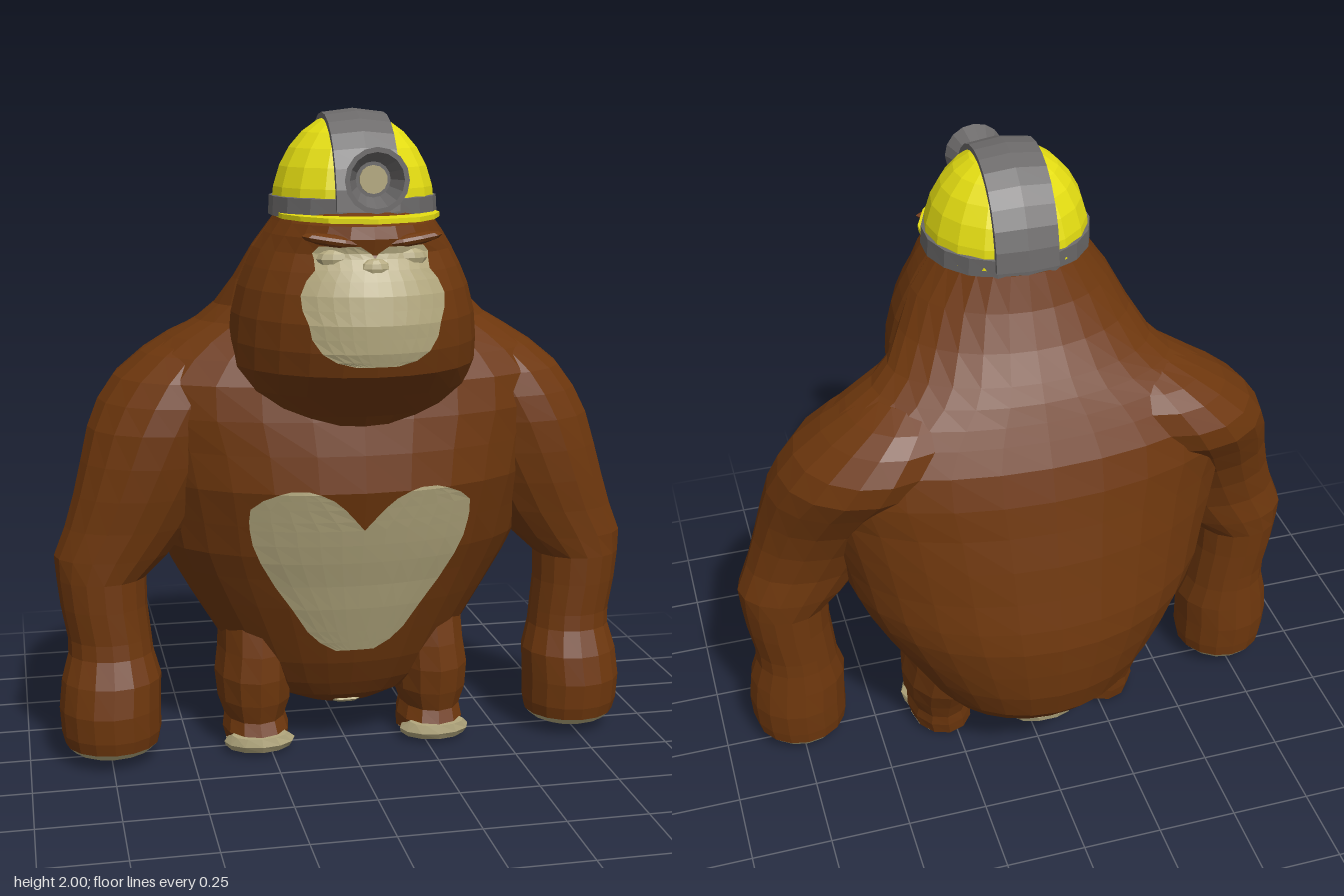
import * as THREE from 'three';
import { ParametricGeometry } from 'three/addons/geometries/ParametricGeometry.js';

const material = (name, color) => {
  const m = new THREE.MeshStandardMaterial({ color });
  m.name = name;
  return m;
};

export function createModel() {
  const model = new THREE.Group();
  model.name = 'gorilla';
  const fur = material('brown fur', 0x6e370d);
  const skin = material('beige skin', 0xb3a87e);
  const shell = material('yellow shell', 0xe6df12);
  const metal = material('grey metal', 0x6b6969);

  // Facets every geometry so that it reads as low-poly
  const add = (name, geometry, mat, parent = model) => {
    const g = geometry.index ? geometry.toNonIndexed() : geometry;
    g.computeVertexNormals();
    const mesh = new THREE.Mesh(g, mat);
    mesh.name = name;
    parent.add(mesh);
    return mesh;
  };

  // Rings from bottom to top: [y, xMin, xMax, zFront, zBack, zOfWidestPoint]
  const ringPoint = ([y, x0, x1, zf, zb, zc = (zf + zb) / 2], angle, target) => {
    const c = Math.cos(angle);
    return target.set((x0 + x1) / 2 + (x1 - x0) / 2 * Math.sin(angle), y, zc + c * (c > 0 ? zf - zc : zc - zb));
  };
  const loft = (rings, sides) => {
    const close = ([y, x0, x1, zf, zb]) => {
      const x = (x0 + x1) / 2, z = (zf + zb) / 2;
      return [y, x, x, z, z, z];
    };
    const all = [close(rings[0]), ...rings, close(rings[rings.length - 1])];
    const n = all.length - 1;
    return new ParametricGeometry((u, v, p) => ringPoint(all[Math.round(v * n)], u * Math.PI * 2, p), sides, n);
  };
  const symmetric = (rows) => rows.map(([y, w, ...z]) => [y, -w, w, ...z]);

  // Torso with the shoulders and the back of the neck
  const torso = symmetric([
    [0.13, 0.14, 0.02, -0.22, -0.1], [0.17, 0.25, 0.07, -0.30, -0.1], [0.22, 0.31, 0.10, -0.38, -0.1],
    [0.30, 0.36, 0.14, -0.45, -0.1], [0.40, 0.42, 0.175, -0.48, -0.1], [0.50, 0.48, 0.21, -0.49, -0.1],
    [0.60, 0.535, 0.24, -0.495, -0.09], [0.68, 0.57, 0.27, -0.485, -0.08], [0.78, 0.59, 0.30, -0.465, -0.08],
    [0.89, 0.615, 0.33, -0.445, -0.08], [1.00, 0.64, 0.315, -0.42, -0.08], [1.10, 0.68, 0.295, -0.40, -0.08],
    [1.20, 0.68, 0.27, -0.37, -0.08], [1.27, 0.61, 0.24, -0.335, -0.08], [1.32, 0.54, 0.22, -0.31, -0.08],
    [1.37, 0.455, 0.20, -0.285, -0.06], [1.42, 0.40, 0.18, -0.255, -0.03], [1.50, 0.35, 0.16, -0.205, 0.03],
    [1.60, 0.298, 0.15, -0.155, 0.08], [1.70, 0.225, 0.15, -0.12, 0.1],
  ]);
  add('torso', loft(torso, 28), fur);

  // Head
  const head = symmetric([
    [1.05, 0.24, 0.27, 0, 0.05], [1.12, 0.32, 0.325, -0.05, 0.05], [1.19, 0.36, 0.39, -0.1, 0.07],
    [1.26, 0.372, 0.465, -0.12, 0.09], [1.33, 0.372, 0.485, -0.15, 0.1], [1.41, 0.365, 0.49, -0.15, 0.1],
    [1.49, 0.345, 0.475, -0.15, 0.1], [1.55, 0.32, 0.45, -0.14, 0.1], [1.60, 0.295, 0.42, -0.13, 0.1],
    [1.645, 0.265, 0.43, -0.12, 0.11], [1.68, 0.24, 0.42, -0.11, 0.11], [1.73, 0.21, 0.32, -0.10, 0.11],
  ]);
  add('head', loft(head, 24), fur);

  // Front z of a lofted body at a given x and y
  const frontZ = (rings, x, y) => {
    let i = 0;
    while (i < rings.length - 2 && rings[i + 1][0] < y) i++;
    const a = rings[i], b = rings[i + 1];
    const r = a.map((v, k) => THREE.MathUtils.lerp(v, b[k], (y - a[0]) / (b[0] - a[0])));
    return r[5] + (r[3] - r[5]) * Math.sqrt(Math.max(0, 1 - (x / r[2]) ** 2));
  };
  // Mirrored skin patch; rows from bottom to top: [y, xInner, xOuter]
  const patch = (name, rows, rings) => {
    for (const side of [-1, 1]) {
      const g = new ParametricGeometry((u, v, p) => {
        const [y, a, b] = rows[Math.round(v * (rows.length - 1))];
        const x = side * THREE.MathUtils.lerp(a, b, side > 0 ? u : 1 - u);
        p.set(x, y, frontZ(rings, x, y) + 0.007);
      }, 5, rows.length - 1);
      add(name, g, skin);
    }
  };
  patch('chestPatch', [
    [0.35, 0, 0.06], [0.38, 0, 0.11], [0.42, 0, 0.15], [0.50, 0, 0.2], [0.58, 0, 0.255], [0.66, 0, 0.3],
    [0.72, 0, 0.325], [0.77, 0, 0.335], [0.80, 0.025, 0.338], [0.84, 0.06, 0.335], [0.87, 0.095, 0.3],
    [0.89, 0.135, 0.255], [0.90, 0.17, 0.22],
  ], torso);
  patch('face', [
    [1.292, 0, 0.06], [1.305, 0, 0.115], [1.33, 0, 0.155], [1.37, 0, 0.182], [1.41, 0, 0.19], [1.45, 0, 0.205],
    [1.49, 0, 0.208], [1.53, 0, 0.19], [1.56, 0, 0.165], [1.59, 0, 0.165], [1.605, 0.01, 0.168], [1.625, 0.04, 0.15],
  ], head);

  // Flattened balls for the eyelids, nose, brow and rump
  const ball = (name, mat, position, scale, tiltX = 0, tiltZ = 0) => {
    const mesh = add(name, new THREE.SphereGeometry(1, 10, 6), mat);
    mesh.position.set(...position);
    mesh.scale.set(...scale);
    mesh.rotation.set(tiltX, 0, tiltZ);
  };
  for (const s of [-1, 1]) {
    ball('eyelid', skin, [s * 0.1, 1.59, 0.39], [0.06, 0.03, 0.03]);
    ball('brow', fur, [s * 0.11, 1.64, 0.395], [0.095, 0.018, 0.035], 0, s * 0.16);
  }
  ball('nose', skin, [0, 1.565, 0.432], [0.045, 0.028, 0.025]);
  ball('rump', skin, [0, 0.165, -0.28], [0.11, 0.032, 0.1], 0.45);
  ball('crotch', skin, [0, 0.142, -0.06], [0.09, 0.022, 0.11]);

  // Arms and legs, written for the left side
  const arm = [
    [0.06, 0.60, 0.89, 0.165, -0.12], [0.10, 0.592, 0.90, 0.175, -0.125], [0.18, 0.592, 0.905, 0.18, -0.13],
    [0.27, 0.588, 0.895, 0.165, -0.125], [0.35, 0.61, 0.872, 0.135, -0.12], [0.40, 0.615, 0.872, 0.13, -0.12],
    [0.50, 0.625, 0.89, 0.13, -0.125], [0.59, 0.625, 0.90, 0.13, -0.13], [0.66, 0.55, 0.905, 0.135, -0.14],
    [0.75, 0.48, 0.87, 0.145, -0.145], [0.85, 0.42, 0.84, 0.16, -0.17], [0.95, 0.36, 0.815, 0.17, -0.21],
    [1.05, 0.30, 0.79, 0.175, -0.27], [1.13, 0.25, 0.755, 0.17, -0.325], [1.20, 0.22, 0.705, 0.155, -0.335],
    [1.27, 0.20, 0.62, 0.12, -0.31], [1.32, 0.20, 0.54, 0.08, -0.27], [1.36, 0.20, 0.46, 0.03, -0.2],
  ];
  const palm = [[0.025, 0.65, 0.84, 0.11, -0.08], [0.04, 0.62, 0.87, 0.145, -0.105], [0.061, 0.60, 0.89, 0.165, -0.12]];
  const leg = [
    [0.015, 0.18, 0.38, 0.09, -0.165], [0.06, 0.18, 0.392, 0.115, -0.175], [0.10, 0.192, 0.385, 0.095, -0.178],
    [0.16, 0.17, 0.405, 0.11, -0.2], [0.24, 0.165, 0.412, 0.12, -0.24], [0.32, 0.165, 0.40, 0.11, -0.26],
    [0.42, 0.16, 0.395, 0.085, -0.26], [0.54, 0.16, 0.38, 0.04, -0.2],
  ];
  const sole = [[0, 0.20, 0.365, 0.08, -0.14], [0.016, 0.18, 0.382, 0.1, -0.165]];
  const toes = [[0.012, 0.18, 0.39, 0.115, -0.06], [0.035, 0.172, 0.397, 0.13, -0.03], [0.062, 0.20, 0.375, 0.125, 0.02]];
  const mirrorX = (rings) => rings.map(([y, a, b, ...z]) => [y, -b, -a, ...z]);
  for (const [side, flip] of [['left', (r) => r], ['right', mirrorX]]) {
    add(side + 'Arm', loft(flip(arm), 16), fur);
    add(side + 'Palm', loft(flip(palm), 16), skin);
    add(side + 'Leg', loft(flip(leg), 12), fur);
    add(side + 'Sole', loft(flip(sole), 12), skin);
    add(side + 'Toes', loft(flip(toes), 12), skin);
  }

  // Helmet: dome, centre strip, band and brim
  const helmet = new THREE.Group();
  helmet.name = 'helmet';
  helmet.position.set(0, 1.715, 0.115);
  model.add(helmet);
  const dome = new THREE.SphereGeometry(1, 18, 7, 0, Math.PI * 2, 0, Math.PI / 2);
  dome.scale(0.243, 0.278, 0.235);
  add('dome', dome, shell, helmet);
  const section = [[-0.092, 0.86], [-0.092, 0.96], [0, 1], [0.092, 0.96], [0.092, 0.86]];
  const strip = new ParametricGeometry((u, v, p) => {
    const [x, r] = section[Math.round(u * 4)];
    p.set(x, r * 0.285 * Math.sin(v * Math.PI), r * 0.243 * Math.cos(v * Math.PI));
  }, 4, 14);
  add('centreStrip', strip, metal, helmet);
  add('band', loft(symmetric([[-0.021, 0.25, 0.24, -0.235], [0.035, 0.247, 0.239, -0.239], [0.04, 0.22, 0.22, -0.22]]), 18), metal, helmet);
  const brimShape = new THREE.Shape([
    [-0.235, 0.04], [0.235, 0.04], [0.232, 0.13], [0.195, 0.22], [0.13, 0.305], [0, 0.355],
    [-0.13, 0.305], [-0.195, 0.22], [-0.232, 0.13],
  ].map(([x, z]) => new THREE.Vector2(x, z)));
  const brim = new THREE.ExtrudeGeometry(brimShape, { depth: 0.014, bevelEnabled: false });
  brim.rotateX(Math.PI / 2);
  add('brim', brim, shell, helmet).position.y = -0.01;

  // Head lamp: hollow cone with a round lens
  const profile = [[0, 0], [0.04, 0], [0.06, 0.06], [0.092, 0.13], [0.078, 0.13], [0.05, 0.075], [0, 0.075]];
  const lamp = new THREE.LatheGeometry(profile.map(([r, h]) => new THREE.Vector2(r, h)), 16);
  lamp.rotateX(Math.PI / 2);
  add('lamp', lamp, metal, helmet).position.set(0, 0.095, 0.212);
  const lens = new THREE.CylinderGeometry(0.04, 0.04, 0.008, 14);
  lens.rotateX(Math.PI / 2);
  add('lens', lens, skin, helmet).position.set(0, 0.095, 0.29);

  return model;
}
